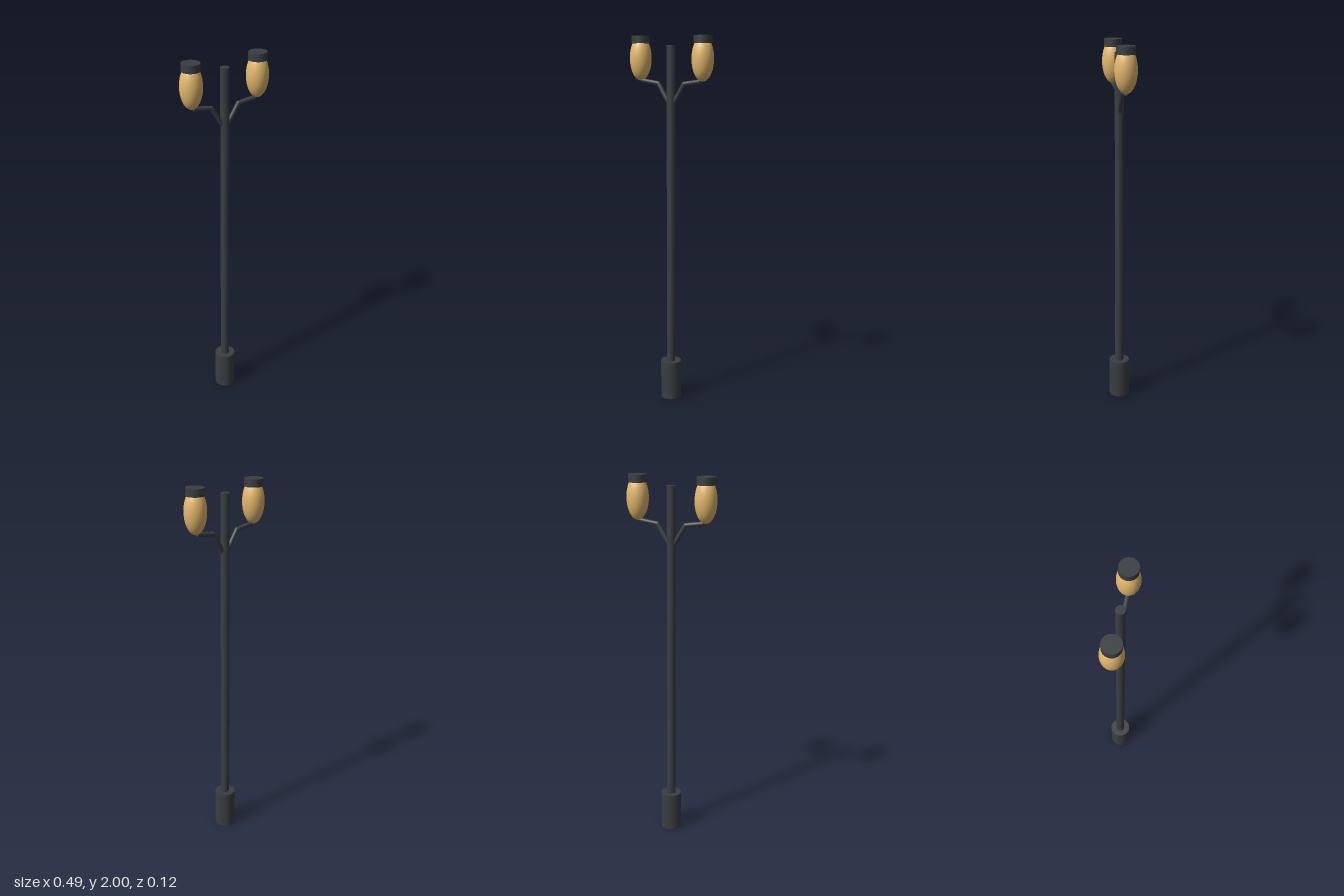
import * as THREE from 'three';

const iron = new THREE.MeshStandardMaterial({ color: 0x3a3e42 });
const amber = new THREE.MeshStandardMaterial({ color: 0xe3b86c });

function add(parent, name, geometry, material, x = 0, y = 0) {
  const mesh = new THREE.Mesh(geometry, material);
  mesh.name = name;
  mesh.position.set(x, y, 0);
  parent.add(mesh);
  return mesh;
}

// Upright cylinder standing between two heights
function post(parent, name, radius, bottom, top, x = 0) {
  const geometry = new THREE.CylinderGeometry(radius, radius, top - bottom, 32);
  return add(parent, name, geometry, iron, x, (bottom + top) / 2);
}

// Straight round rod between two points in the front plane
function rod(parent, name, radius, [x1, y1], [x2, y2]) {
  const dx = x2 - x1, dy = y2 - y1;
  const geometry = new THREE.CylinderGeometry(radius, radius, Math.hypot(dx, dy), 20);
  const mesh = add(parent, name, geometry, iron, (x1 + x2) / 2, (y1 + y2) / 2);
  mesh.rotation.z = Math.atan2(-dx, dy);
  return mesh;
}

export function createModel() {
  const model = new THREE.Group();
  model.name = 'streetLamp';

  post(model, 'base', 0.056, 0, 0.215);
  post(model, 'pole', 0.0235, 0.2, 1.95);

  // One bent arm with a lantern on each side
  for (const [side, s] of [['left', 1], ['right', -1]]) {
    const branch = new THREE.Group();
    branch.name = side + 'Branch';
    model.add(branch);

    const armRadius = 0.012;
    const elbow = [s * 0.077, 1.753];
    rod(branch, 'lowerArm', armRadius, [s * 0.005, 1.637], elbow);
    rod(branch, 'upperArm', armRadius, elbow, [s * 0.175, 1.767]);
    add(branch, 'elbow', new THREE.SphereGeometry(armRadius, 20, 12), iron, ...elbow);

    // Egg-shaped lamp, its top hidden in the cap
    const globe = new THREE.SphereGeometry(0.058, 32, 24).scale(1, 2, 1);
    add(branch, 'globe', globe, amber, s * 0.186, 1.882);
    post(branch, 'cap', 0.048, 1.96, 2, s * 0.186);
  }
  return model;
}
